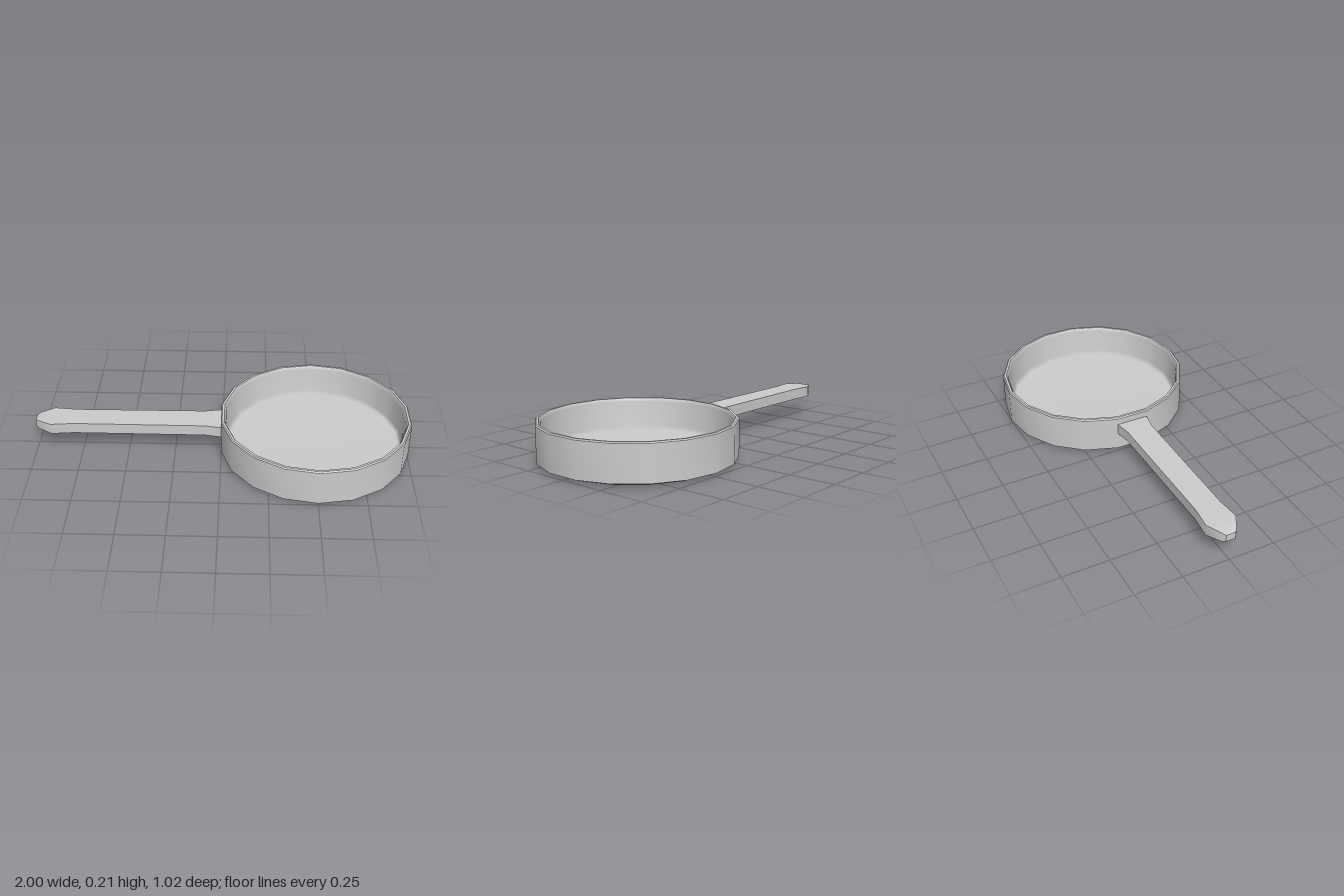
import * as THREE from 'three';
import { toCreasedNormals } from 'three/addons/utils/BufferGeometryUtils.js';

const SIDES = 18;
const PAN_X = 0.5;
const material = new THREE.MeshStandardMaterial({ color: 0xcccccc });

function lathe(profile) {
  return new THREE.LatheGeometry(profile.map(([r, y]) => new THREE.Vector2(r, y)), SIDES);
}

// Skin rectangular cross-sections [x, halfWidth, halfHeight] running along -x
function loftBox(sections, midY) {
  const pos = [];
  const index = [];
  for (const [x, w, h] of sections) {
    pos.push(x, midY - h, -w, x, midY - h, w, x, midY + h, w, x, midY + h, -w);
  }
  for (let s = 0; s < sections.length - 1; s++) {
    for (let k = 0; k < 4; k++) {
      const a = s * 4 + k, b = s * 4 + (k + 1) % 4;
      index.push(a, b, b + 4, a, b + 4, a + 4);
    }
  }
  const e = (sections.length - 1) * 4;
  index.push(0, 2, 1, 0, 3, 2, e, e + 1, e + 2, e, e + 2, e + 3);
  const geometry = new THREE.BufferGeometry();
  geometry.setAttribute('position', new THREE.Float32BufferAttribute(pos, 3));
  geometry.setIndex(index);
  geometry.computeVertexNormals();
  return toCreasedNormals(geometry, 0.6);
}

export function createModel() {
  const model = new THREE.Group();
  const add = (name, geometry, x = 0) => {
    const mesh = new THREE.Mesh(geometry, material);
    mesh.name = name;
    mesh.position.x = x;
    model.add(mesh);
  };

  // Outside of the pan: flat base, bevelled foot, straight wall and rim
  add('panBody', toCreasedNormals(lathe([
    [0, 0], [0.46, 0], [0.51, 0.018], [0.51, 0.207], [0.504, 0.213], [0.492, 0.213],
  ]), 0.42), PAN_X);

  // Inside of the pan: wall blending softly into the cooking surface
  add('panInterior', lathe([
    [0.492, 0.213], [0.482, 0.195], [0.475, 0.06], [0.46, 0.04], [0, 0.04],
  ]), PAN_X);

  // Flat handle, flared where it joins the pan and swelling before a blunt tip
  add('handle', loftBox([
    [0.012, 0.088, 0.03], [-0.09, 0.071, 0.03], [-0.79, 0.068, 0.03],
    [-0.91, 0.08, 0.03], [-0.98, 0.042, 0.026], [-1, 0.026, 0.019],
  ], 0.142));

  return model;
}
